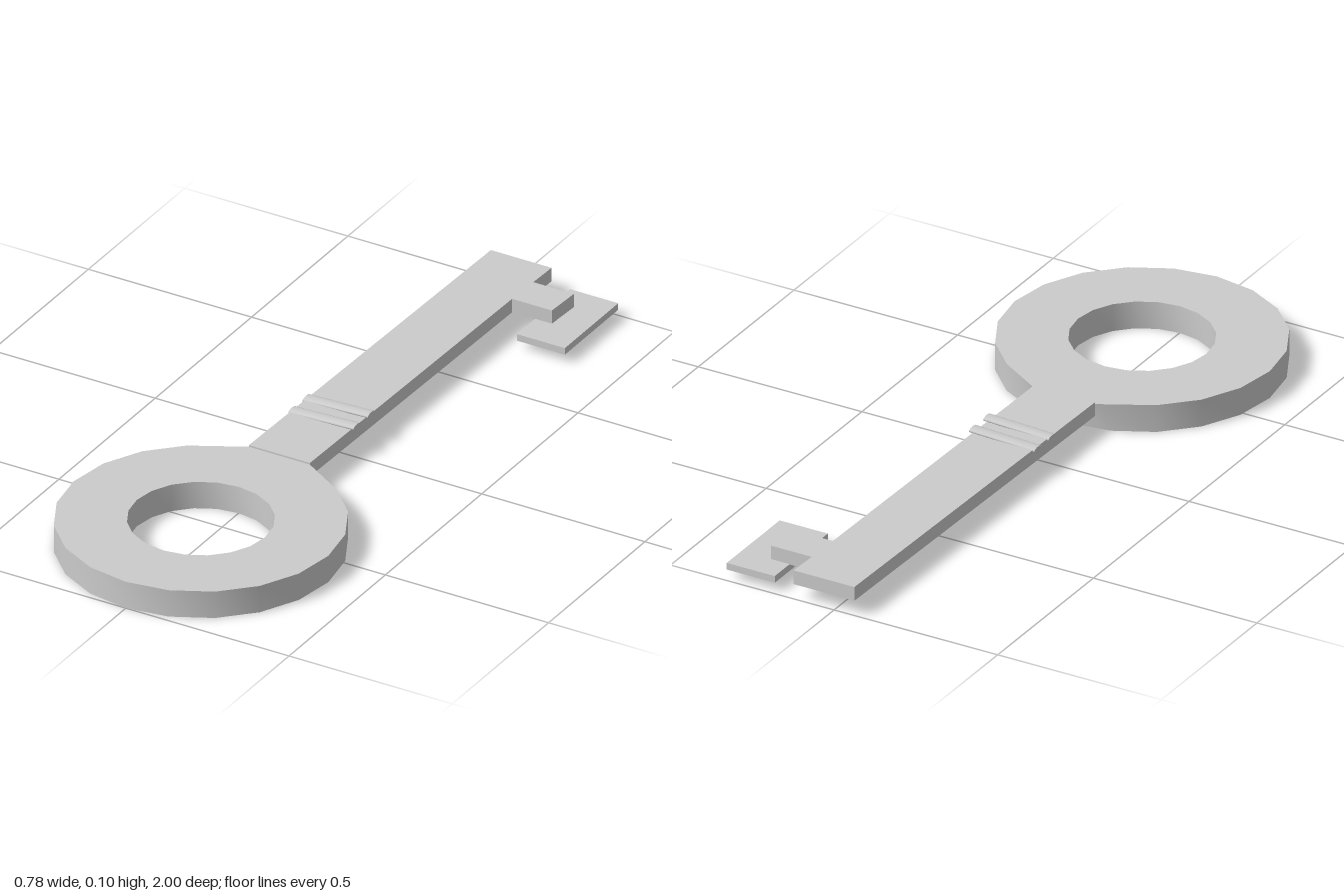
import * as THREE from 'three';
import { toCreasedNormals } from 'three/addons/utils/BufferGeometryUtils.js';

const material = new THREE.MeshStandardMaterial({ color: 0xcccccc });

// Outline points are [x, z]; the slab is extruded upwards from y = bottom.
const toPoints = (list) => list.map(([x, z]) => new THREE.Vector2(x, -z));

function slab(outline, bottom, height, hole) {
  const shape = new THREE.Shape(toPoints(outline));
  if (hole) shape.holes.push(new THREE.Path(toPoints(hole)));
  const geometry = new THREE.ExtrudeGeometry(shape, { depth: height, bevelEnabled: false });
  return geometry.rotateX(-Math.PI / 2).translate(0, bottom, 0);
}

function circle(radius, sides, centreZ) {
  return Array.from({ length: sides }, (_, i) => {
    const a = (i / sides) * Math.PI * 2;
    return [radius * Math.sin(a), centreZ + radius * Math.cos(a)];
  });
}

export function createModel() {
  const model = new THREE.Group();
  const add = (name, geometry) => {
    const mesh = new THREE.Mesh(geometry, material);
    mesh.name = name;
    model.add(mesh);
    return mesh;
  };

  // Ring handle; its top rim is drawn out to meet the shaft corners
  const ring = slab(circle(0.39, 20, 0.61), 0, 0.08, circle(0.196, 20, 0.61));
  const p = ring.attributes.position;
  for (let i = 0; i < p.count; i++) {
    if (p.getZ(i) > 0.25 || p.getY(i) < 0.04) continue;
    const x = p.getX(i);
    if (Math.abs(x) > 0.05) p.setX(i, x < 0 ? -0.085 : 0.102);
    p.setZ(i, 0.217);
  }
  add('ringHandle', toCreasedNormals(ring, 0.6));

  // Shaft with the stub that carries the bit
  add('shaft', slab([
    [-0.085, 0.217], [0.102, 0.217], [0.118, -0.805], [0.24, -0.805],
    [0.245, -0.91], [0.121, -0.91], [0.124, -1], [-0.062, -1],
  ], 0.044, 0.041));

  // Bit plate under the stub
  add('bitPlate', new THREE.BoxGeometry(0.147, 0.02, 0.277).translate(0.262, 0.035, -0.849));

  // Two flattened, slightly tilted collar bands
  const band = new THREE.CylinderGeometry(1, 1, 0.2, 16).rotateZ(Math.PI / 2).scale(1, 0.007, 0.019);
  for (const [name, z] of [['frontBand', -0.006], ['rearBand', -0.08]]) {
    const mesh = add(name, band);
    mesh.position.set(0.015, 0.0862, z);
    mesh.rotation.z = 0.038;
  }
  return model;
}
